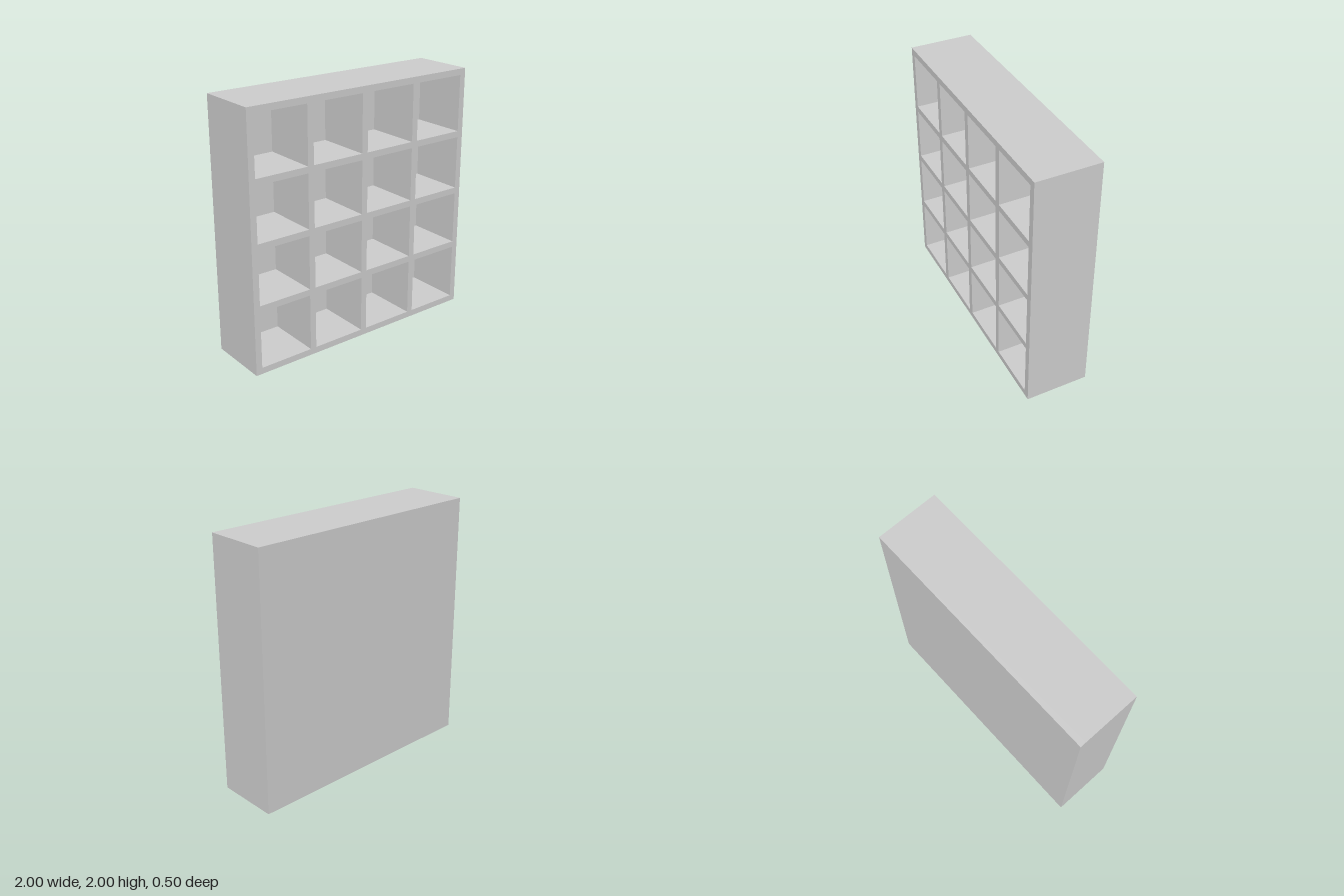
import * as THREE from 'three';

const SIZE = 2, DEPTH = 0.5, BOARD = 0.05, CELLS = 4;

// Axis-aligned rectangle traced onto a Shape or Path
function rect(path, x0, y0, x1, y1) {
  path.moveTo(x0, y0);
  path.lineTo(x1, y0);
  path.lineTo(x1, y1);
  path.lineTo(x0, y1);
  path.closePath();
  return path;
}

export function createModel() {
  const group = new THREE.Group();
  group.name = 'cubbyShelf';
  const material = new THREE.MeshStandardMaterial({ color: 0xcccccc, flatShading: true });

  // Columns: four equal openings between equal dividers
  const inner = SIZE - 2 * BOARD;
  const cellWidth = (inner - (CELLS - 1) * BOARD) / CELLS;
  const left = (i) => -SIZE / 2 + BOARD + i * (cellWidth + BOARD);

  // Rows: shelves centred on even quarters of the inner height
  const shelfY = (j) => BOARD + (inner * j) / CELLS;
  const bottom = (j) => (j === 0 ? BOARD : shelfY(j) + BOARD / 2);
  const top = (j) => (j === CELLS - 1 ? SIZE - BOARD : shelfY(j + 1) - BOARD / 2);

  // Outer case, shelves and dividers as one pierced block
  const outline = rect(new THREE.Shape(), -SIZE / 2, 0, SIZE / 2, SIZE);
  for (let i = 0; i < CELLS; i++) {
    for (let j = 0; j < CELLS; j++) {
      outline.holes.push(rect(new THREE.Path(), left(i), bottom(j), left(i) + cellWidth, top(j)));
    }
  }
  const frame = new THREE.Mesh(
    new THREE.ExtrudeGeometry(outline, { depth: DEPTH - BOARD, bevelEnabled: false }),
    material
  );
  frame.name = 'shelfFrame';
  frame.position.z = -DEPTH / 2 + BOARD;
  group.add(frame);

  // Solid back panel closing every cubby
  const back = new THREE.Mesh(new THREE.BoxGeometry(SIZE, SIZE, BOARD), material);
  back.name = 'backPanel';
  back.position.set(0, SIZE / 2, -DEPTH / 2 + BOARD / 2);
  group.add(back);

  return group;
}
